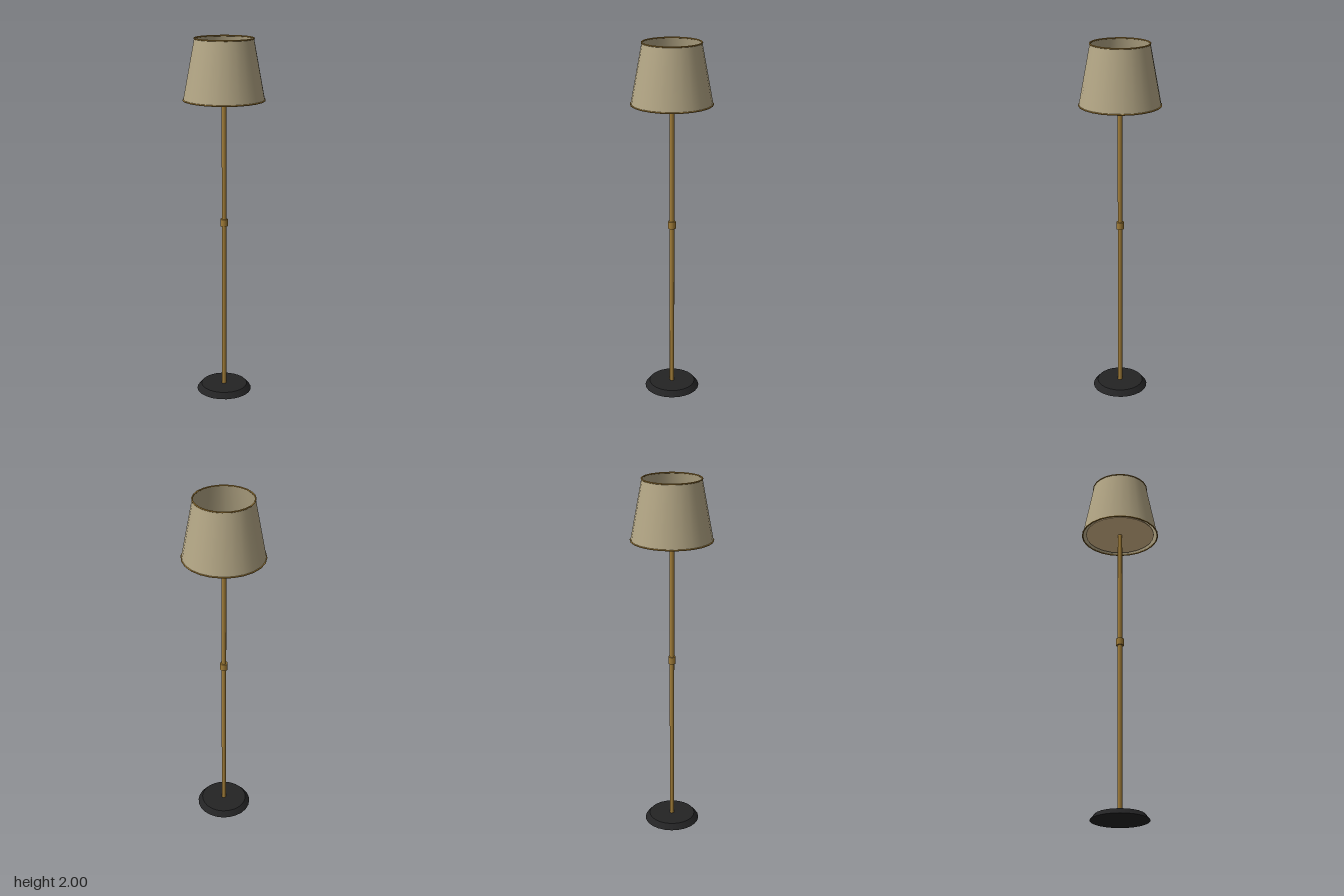
import * as THREE from 'three';

const SIDES = 24;

function material(name, color, side = THREE.FrontSide) {
  const m = new THREE.MeshStandardMaterial({ color, side });
  m.name = name;
  return m;
}

export function createModel() {
  const brass = material('brass', 0xa07c38);
  const fabric = material('shadeFabric', 0xb3a685, THREE.DoubleSide);
  const glow = material('warmGlow', 0xdfc090);
  const iron = material('blackIron', 0x232324);

  const lamp = new THREE.Group();
  lamp.name = 'floorLamp';

  function add(name, geometry, mat, y) {
    const mesh = new THREE.Mesh(geometry, mat);
    mesh.name = name;
    mesh.position.y = y;
    lamp.add(mesh);
    return mesh;
  }

  // Upright cylinder or cone section from its lower to its upper height
  function column(name, mat, rBottom, rTop, y0, y1, sides = SIDES, open = false) {
    const g = new THREE.CylinderGeometry(rTop, rBottom, y1 - y0, sides, 1, open);
    return add(name, g, mat, (y0 + y1) / 2);
  }

  // Horizontal wire ring
  function ring(name, radius, tube, y) {
    const g = new THREE.TorusGeometry(radius, tube, 8, SIDES);
    g.rotateX(Math.PI / 2);
    return add(name, g, brass, y);
  }

  // Stand
  column('base', iron, 0.155, 0.13, 0, 0.03);
  column('pole', brass, 0.013, 0.013, 0.03, 1.74, 12);
  column('collar', brass, 0.021, 0.021, 0.975, 1.015, 12);

  // Shade with its two wire rims
  column('shade', fabric, 0.218, 0.157, 1.674, 1.996, SIDES, true);
  ring('shadeTopRim', 0.157, 0.004, 1.996);
  ring('shadeBottomRim', 0.218, 0.004, 1.674);

  // Diffuser disc and bulb inside the shade
  column('diffuser', glow, 0.197, 0.197, 1.679, 1.685);
  add('bulb', new THREE.SphereGeometry(0.072, 12, 10), glow, 1.8);

  return lamp;
}
